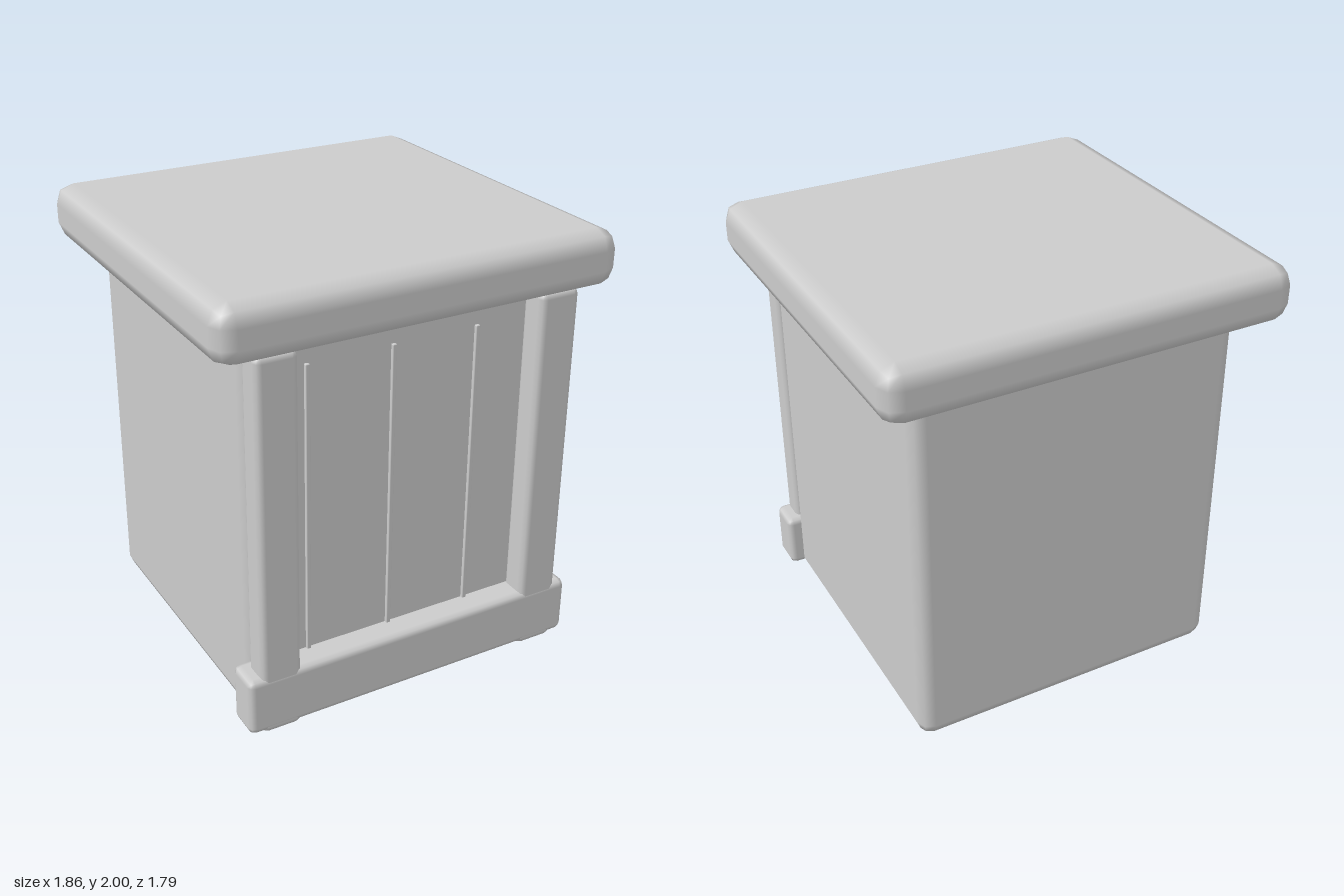
import * as THREE from 'three';
import { RoundedBoxGeometry } from 'three/addons/geometries/RoundedBoxGeometry.js';

export function createModel() {
  const model = new THREE.Group();
  model.name = 'pedestal';
  const stone = new THREE.MeshStandardMaterial({ color: 0xcccccc });
  stone.name = 'light grey stone';

  // Softly bevelled block given by its min and max on each axis
  function block(name, [x0, x1], [y0, y1], [z0, z1], radius) {
    const geometry = new RoundedBoxGeometry(x1 - x0, y1 - y0, z1 - z0, 1, radius);
    const mesh = new THREE.Mesh(geometry, stone);
    mesh.name = name;
    mesh.position.set((x0 + x1) / 2, (y0 + y1) / 2, (z0 + z1) / 2);
    model.add(mesh);
  }

  // Main body and overhanging slab
  block('body', [-0.755, 0.755], [0, 1.77], [-0.74, 0.73], 0.065);
  block('topSlab', [-0.93, 0.925], [1.745, 2], [-0.895, 0.895], 0.085);

  // Corner posts on the front, running down behind the base board
  block('rightPost', [-0.76, -0.57], [0.01, 1.765], [0.715, 0.85], 0.03);
  block('leftPost', [0.56, 0.755], [0.01, 1.765], [0.715, 0.85], 0.03);

  // Base board across the front
  block('baseBoard', [-0.82, 0.815], [0.025, 0.297], [0.685, 0.853], 0.03);

  // Thin raised strips dividing the front panel
  for (const x of [-0.48, -0.083, 0.32]) {
    block('panelStrip', [x - 0.01, x + 0.01], [0.1, 1.64], [0.715, 0.745], 0.004);
  }

  return model;
}
